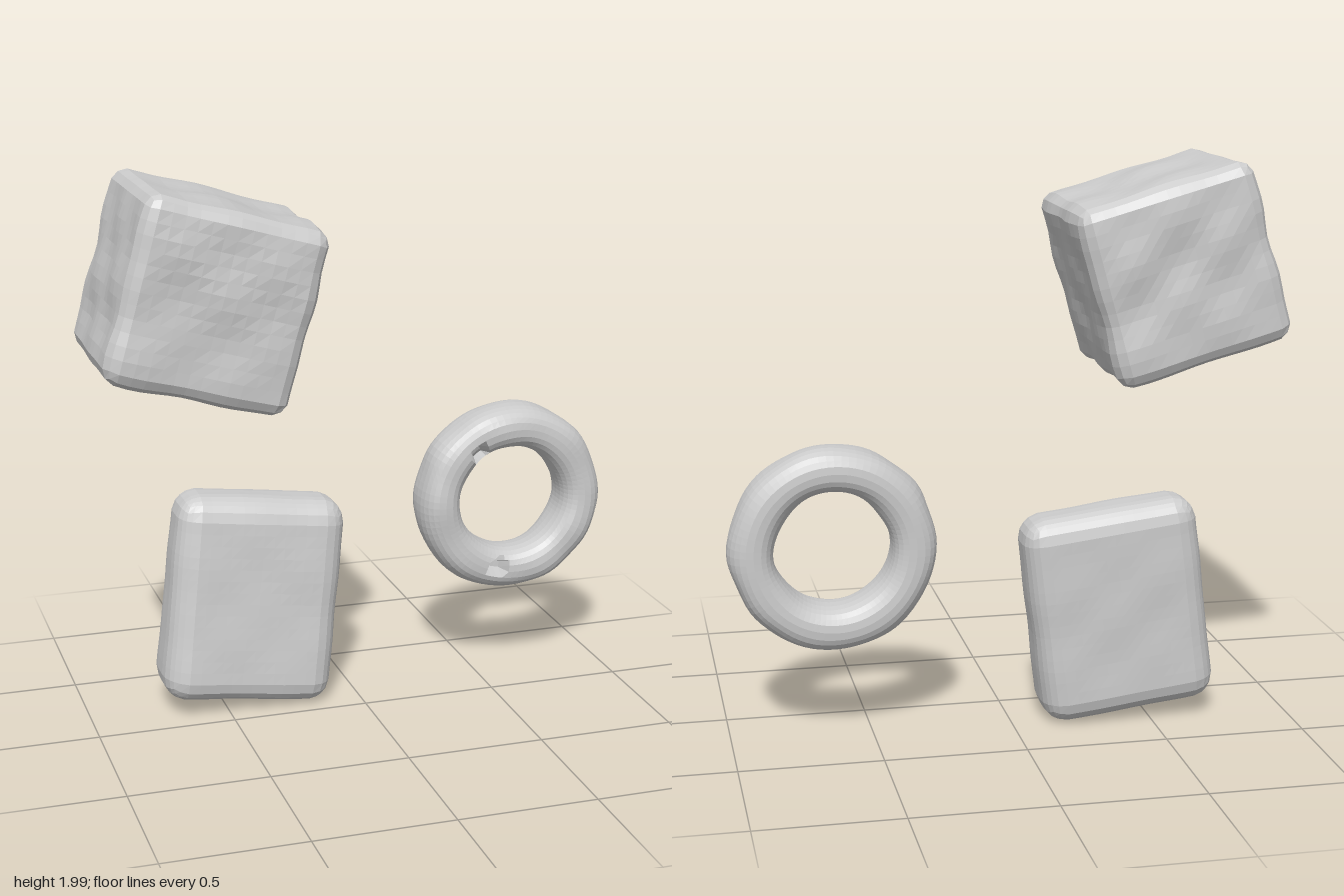
import * as THREE from 'three';

const material = new THREE.MeshStandardMaterial({ color: 0xcccccc, flatShading: true });

// Gentle hand-shaped unevenness, driven by position so seams stay closed
const wobble = (x, y, z) =>
  Math.sin(19 * x + 5 * y + 1) * Math.sin(23 * y - 4 * z + 2) +
  Math.sin(21 * z + 7 * x) * Math.sin(17 * y + 9 * x + 4);

// Subdivided box with rounded edges and slightly lumpy faces
function lumpyBox(w, h, d, radius, lump, segs) {
  const geo = new THREE.BoxGeometry(w, h, d, ...segs);
  const p = geo.attributes.position;
  const inner = new THREE.Vector3(w / 2 - radius, h / 2 - radius, d / 2 - radius);
  const v = new THREE.Vector3(), core = new THREE.Vector3(), n = new THREE.Vector3();
  for (let i = 0; i < p.count; i++) {
    v.fromBufferAttribute(p, i);
    core.copy(v).clamp(inner.clone().negate(), inner);
    n.subVectors(v, core).normalize();
    v.copy(core).addScaledVector(n, radius + lump * wobble(v.x, v.y, v.z));
    p.setXYZ(i, v.x, v.y, v.z);
  }
  return geo;
}

// Ring with an oval, slightly squared section and two small pits in its front
function pittedRing() {
  const around = 80, section = 24, R = 0.281, rx = 0.08, rz = 0.107;
  const pits = [[-0.14, 0.2], [-0.06, -0.26]];
  const pos = [], index = [];
  const soft = (t) => Math.sign(t) * Math.pow(Math.abs(t), 0.82);
  for (let i = 0; i < around; i++) {
    const a = (i / around) * Math.PI * 2;
    for (let j = 0; j < section; j++) {
      const b = (j / section) * Math.PI * 2;
      let r = R + rx * soft(Math.cos(b));
      let z = rz * soft(Math.sin(b));
      const lump = 0.004 * wobble(r * Math.cos(a), r * Math.sin(a), z);
      r += lump * Math.cos(b);
      if (z > 0) z += lump * Math.sin(b);
      const x = r * Math.cos(a), y = r * Math.sin(a);
      if (z > 0.03) {
        for (const [px, py] of pits) {
          if (Math.hypot(x - px, y - py) < 0.033) z -= 0.06;
        }
      }
      pos.push(x, y, z);
      const i2 = (i + 1) % around, j2 = (j + 1) % section;
      const p0 = i * section + j, p1 = i2 * section + j;
      const p2 = i2 * section + j2, p3 = i * section + j2;
      index.push(p0, p1, p2, p0, p2, p3);
    }
  }
  const geo = new THREE.BufferGeometry();
  geo.setAttribute('position', new THREE.Float32BufferAttribute(pos, 3));
  geo.setIndex(index);
  geo.computeVertexNormals();
  return geo;
}

export function createModel() {
  const group = new THREE.Group();
  const add = (name, geo, x, y, z, angle = 0) => {
    const mesh = new THREE.Mesh(geo, material);
    mesh.name = name;
    mesh.position.set(x, y, z);
    mesh.rotation.z = angle;
    group.add(mesh);
  };

  // Tilted cube
  add('cube', lumpyBox(0.65, 0.65, 0.65, 0.06, 0.006, [14, 14, 14]), -0.6, 1.61, 0, -0.275);

  // Pillow-edged slab, its front leaning back towards the top
  const slab = lumpyBox(0.633, 0.765, 0.26, 0.09, 0.0015, [16, 18, 8]);
  const p = slab.attributes.position;
  for (let i = 0; i < p.count; i++) {
    const depth = p.getZ(i) + 0.13;
    p.setZ(i, depth * (1 - 0.16 * p.getY(i) / 0.38 + 0.02));
  }
  slab.computeVertexNormals();
  add('slab', slab, -0.385, 0.412, -0.33, -0.125);

  // Ring
  add('ring', pittedRing(), 0.633, 0.693, -0.223);
  return group;
}
